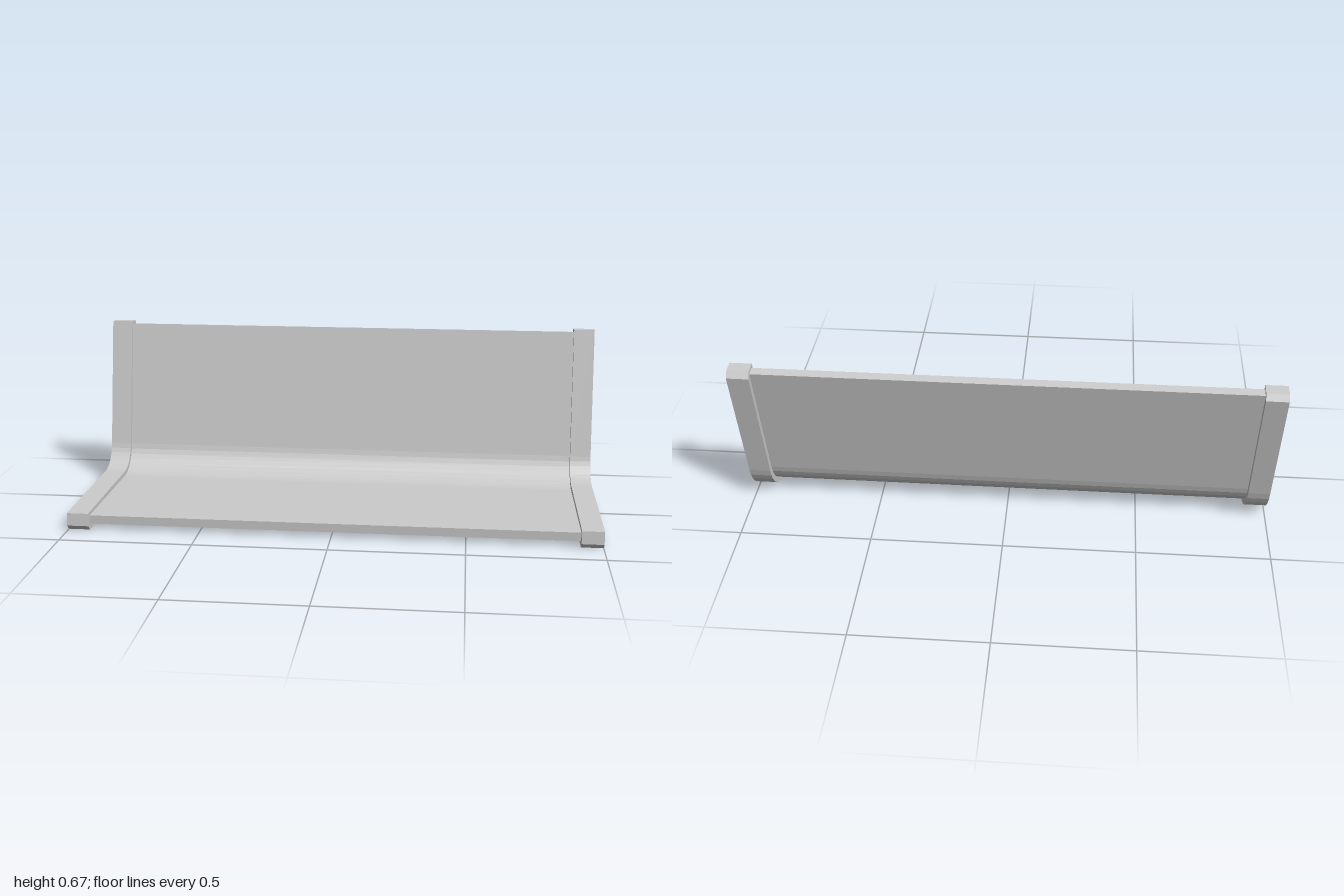
import * as THREE from 'three';

const material = new THREE.MeshStandardMaterial({ color: 0xcccccc, flatShading: true });

// Both bends share one centre; the back leans slightly past upright.
const BEND = { z: -0.12, y: 0.184 };
const LEAN = 0.199;
const STEPS = 8;

// Points of the bend at a given radius, from the seat up to the back, as (z, y).
function bend(radius) {
  const points = [];
  for (let i = 0; i <= STEPS; i++) {
    const a = THREE.MathUtils.lerp(Math.PI / 2, LEAN, i / STEPS);
    points.push([BEND.z - radius * Math.cos(a), BEND.y - radius * Math.sin(a)]);
  }
  return points;
}

// Extrudes an L-shaped side profile along x, from x0 to x1.
function profilePart(name, outerRadius, innerRadius, frontEdge, topEdge, x0, x1) {
  const outline = [...frontEdge, ...bend(outerRadius), ...topEdge, ...bend(innerRadius).reverse()];
  const shape = new THREE.Shape(outline.map(([z, y]) => new THREE.Vector2(-z, y)));
  const geometry = new THREE.ExtrudeGeometry(shape, { depth: x1 - x0, bevelEnabled: false });
  geometry.rotateY(Math.PI / 2);
  geometry.translate(x0, 0, 0);
  const mesh = new THREE.Mesh(geometry, material);
  mesh.name = name;
  return mesh;
}

export function createModel() {
  const group = new THREE.Group();
  group.name = 'bench';

  // Thin bent panel forming the seat and back
  group.add(profilePart('seatPanel', 0.162, 0.129,
    [[0.375, 0.055], [0.375, 0.022]],
    [[-0.381, 0.65], [-0.348, 0.656]], -0.918, 0.918));

  // Thicker end rails with chamfered outer corners
  const railFront = [[0.395, 0.068], [0.4, 0.02], [0.38, 0]];
  const railTop = [[-0.4, 0.64], [-0.385, 0.663], [-0.337, 0.667]];
  for (const [name, x] of [['rightRail', -1], ['leftRail', 0.918]]) {
    group.add(profilePart(name, 0.184, 0.111, railFront, railTop, x, x + 0.082));
  }
  return group;
}
